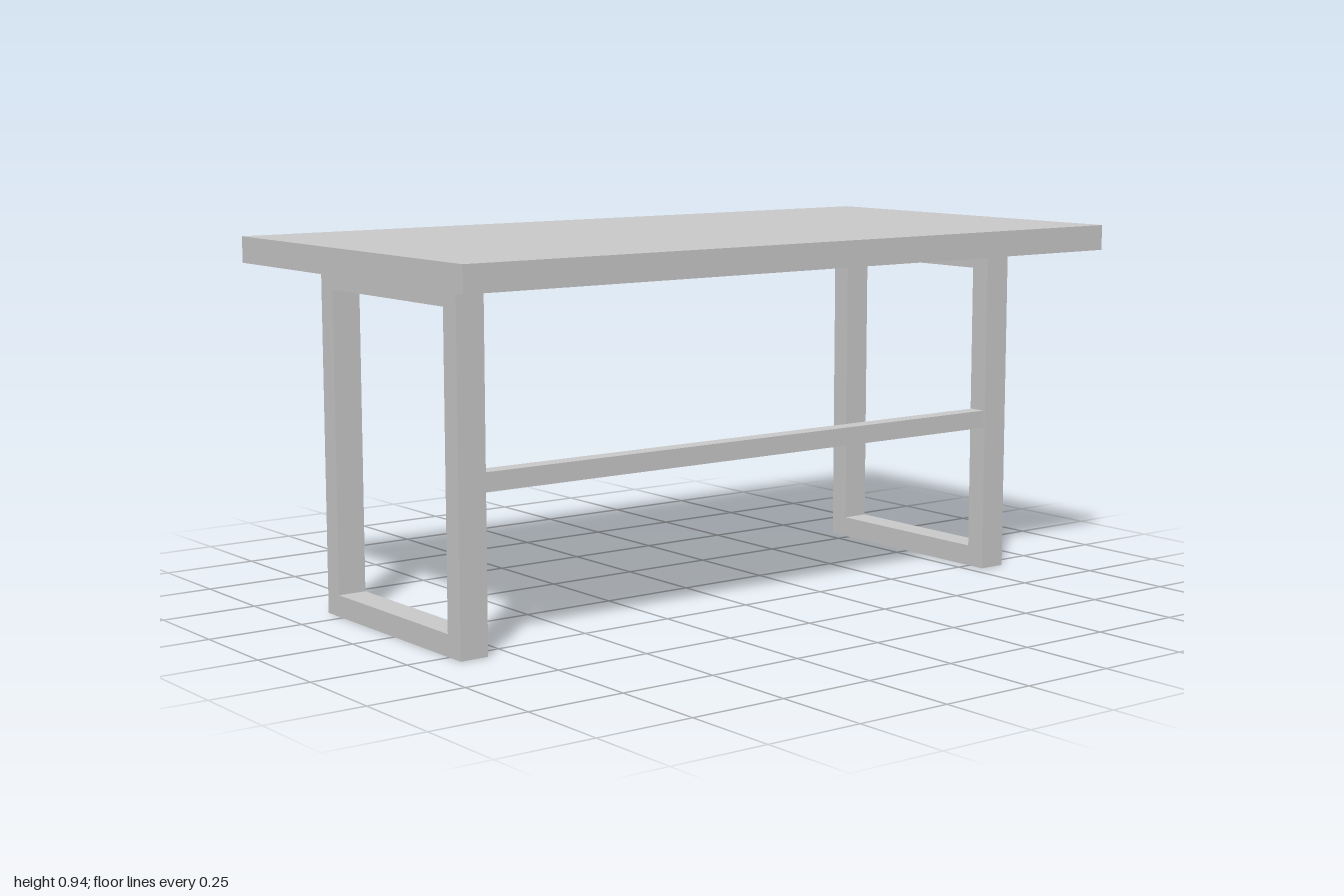
import * as THREE from 'three';

const material = new THREE.MeshStandardMaterial({ color: 0xcccccc, flatShading: true });

// Box given by its extents on each axis
function block(name, [x0, x1], [y0, y1], [z0, z1]) {
  const mesh = new THREE.Mesh(new THREE.BoxGeometry(x1 - x0, y1 - y0, z1 - z0), material);
  mesh.position.set((x0 + x1) / 2, (y0 + y1) / 2, (z0 + z1) / 2);
  mesh.name = name;
  return mesh;
}

// Closed rectangular leg frame, extruded along z
function legFrame(name, z0, depth) {
  const rect = (path, x0, x1, y0, y1) =>
    path.moveTo(x0, y0).lineTo(x1, y0).lineTo(x1, y1).lineTo(x0, y1).closePath();
  const shape = new THREE.Shape();
  rect(shape, -0.32, 0.3, 0, 0.874);
  const hole = new THREE.Path();
  rect(hole, -0.265, 0.245, 0.055, 0.819);
  shape.holes.push(hole);
  const mesh = new THREE.Mesh(
    new THREE.ExtrudeGeometry(shape, { depth, bevelEnabled: false }), material);
  mesh.position.z = z0;
  mesh.name = name;
  return mesh;
}

export function createModel() {
  const table = new THREE.Group();
  table.name = 'table';
  table.add(
    block('tabletop', [-0.513, 0.513], [0.874, 0.94], [-1, 1]),
    legFrame('frontLegFrame', 0.811, 0.075),
    legFrame('backLegFrame', -0.864, 0.075),
    // Single stretcher joining the two left legs
    block('stretcher', [0.248, 0.295], [0.388, 0.435], [-0.789, 0.811]),
  );
  return table;
}
